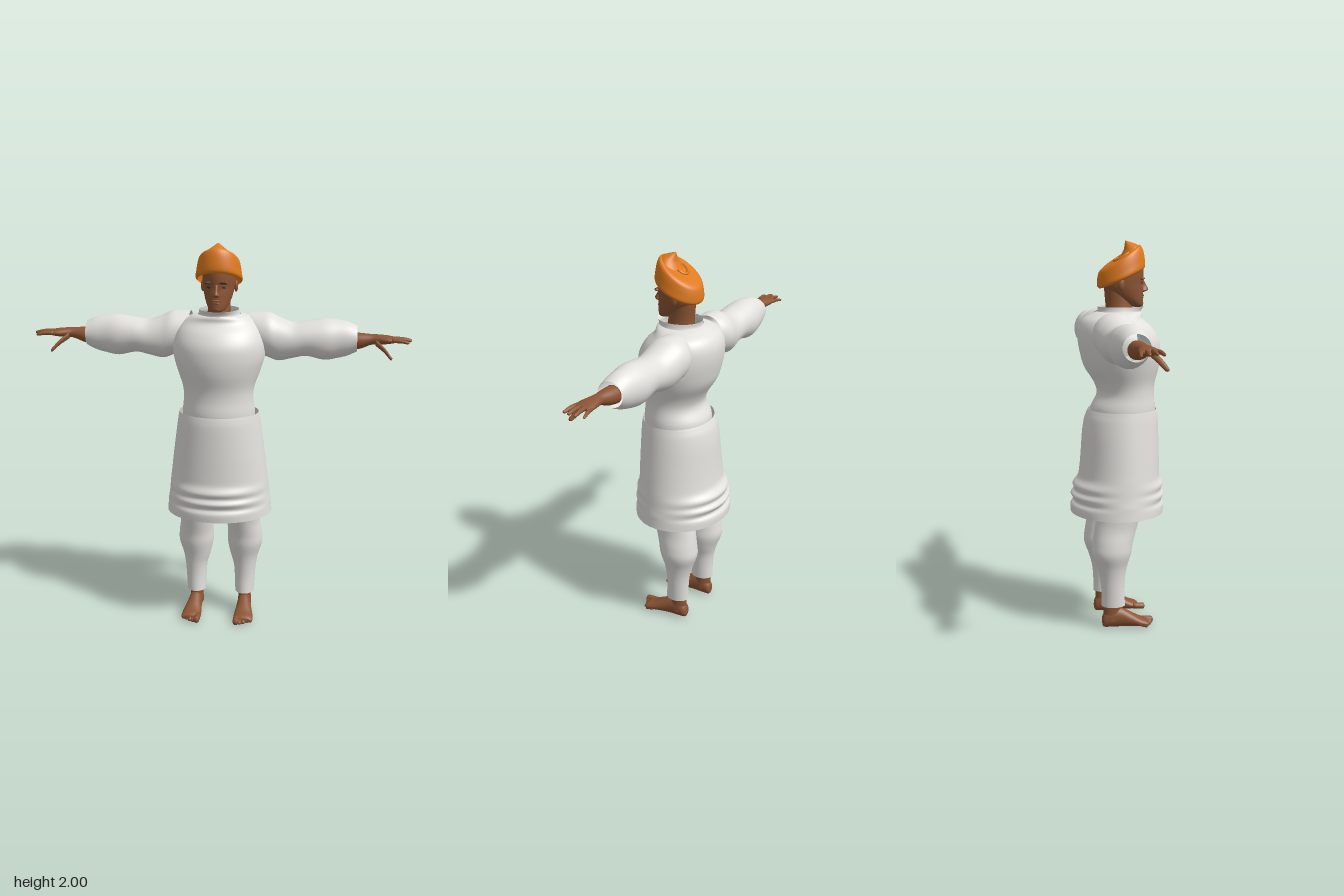
import * as THREE from 'three';
import { mergeGeometries } from 'three/addons/utils/BufferGeometryUtils.js';

const mat = (name, color, side = THREE.FrontSide) => {
  const m = new THREE.MeshStandardMaterial({ color, side });
  m.name = name;
  return m;
};

const cubic = (a, b, c, d, t) => {
  const v0 = (c - a) / 2, v1 = (d - b) / 2;
  return (2 * b - 2 * c + v0 + v1) * t ** 3 + (-3 * b + 3 * c - 2 * v0 - v1) * t * t + v0 * t + b;
};

// Smooth loft through elliptical rings [t, centreA, centreB, radiusA, radiusB, slope].
// Axis y: A = x, B = z.  Axis x: A = z, B = y.  Axis z: A = y, B = x.
function loft(axis, rings, { seg = 32, sub = 5, start = false, end = false } = {}) {
  const n = rings.length, at = i => rings[Math.max(0, Math.min(n - 1, i))];
  const pos = [], idx = [], rows = (n - 1) * sub + 1;
  const put = (t, a, b) => pos.push(...(axis === 'y' ? [a, t, b] : axis === 'x' ? [t, b, a] : [b, a, t]));
  const centres = [];
  for (let r = 0; r < rows; r++) {
    const i = Math.min(Math.floor(r / sub), n - 2), f = r / sub - i;
    const [t, ca, cb, ra, rb, slope] = [0, 1, 2, 3, 4, 5].map(k =>
      cubic(at(i - 1)[k] ?? 0, at(i)[k] ?? 0, at(i + 1)[k] ?? 0, at(i + 2)[k] ?? 0, f));
    centres.push([t, ca, cb]);
    for (let j = 0; j < seg; j++) {
      const q = j / seg * Math.PI * 2, s = Math.sin(q);
      put(t + slope * rb * s, ca + ra * Math.cos(q), cb + rb * s);
    }
  }
  for (let r = 0; r < rows - 1; r++) for (let j = 0; j < seg; j++) {
    const a = r * seg + j, c = r * seg + (j + 1) % seg, b = a + seg, d = c + seg;
    idx.push(a, b, c, b, d, c);
  }
  const cap = (row, flip) => {
    const k = pos.length / 3;
    put(...centres[row]);
    for (let j = 0; j < seg; j++) {
      const a = row * seg + j, b = row * seg + (j + 1) % seg;
      idx.push(k, ...(flip ? [a, b] : [b, a]));
    }
  };
  if (start) cap(0, true);
  if (end) cap(rows - 1, false);
  const g = new THREE.BufferGeometry();
  g.setAttribute('position', new THREE.Float32BufferAttribute(pos, 3));
  g.setIndex(idx);
  g.computeVertexNormals();
  return g;
}

// Mirrored copy across x = 0 with the face order restored
function mirror(g) {
  const m = g.clone().scale(-1, 1, 1), ix = m.index.array;
  for (let i = 0; i < ix.length; i += 3) [ix[i], ix[i + 1]] = [ix[i + 1], ix[i]];
  m.computeVertexNormals();
  return m;
}

export function createModel() {
  const root = new THREE.Group();
  const cloth = mat('white cloth', 0xe2e1dd, THREE.DoubleSide);
  const skin = mat('brown skin', 0x8c5535);
  const orange = mat('orange cloth', 0xde7a1e, THREE.DoubleSide);
  const dark = mat('dark brown', 0x3a2216);
  const add = (name, g, m) => {
    const mesh = new THREE.Mesh(g, m);
    mesh.name = name;
    root.add(mesh);
  };
  const pair = (name, g, m) => {
    add('left' + name, g, m);
    add('right' + name, mirror(g), m);
  };
  const blob = (x, y, z, rx, ry, rz) => {
    const g = new THREE.SphereGeometry(1, 16, 12).scale(rx, ry, rz).translate(x, y, z);
    g.deleteAttribute('uv');
    return g;
  };
  const solid = { start: true, end: true };

  // Tunic body and standing collar
  add('tunic', loft('y', [
    [1.08, 0, .03, .185, .165], [1.15, 0, .032, .186, .168], [1.22, 0, .045, .178, .148],
    [1.28, 0, .04, .184, .157], [1.36, 0, .025, .212, .192], [1.43, 0, .018, .232, .206],
    [1.5, 0, .008, .236, .208], [1.56, 0, -.008, .22, .19], [1.605, 0, -.02, .19, .155],
    [1.632, 0, 0, .145, .13], [1.643, 0, .012, .108, .113]], { seg: 48 }), cloth);
  add('collar', loft('y', [
    [1.636, 0, .012, .108, .114], [1.65, 0, .015, .103, .112], [1.668, 0, .02, .1, .119]], { seg: 48 }), cloth);

  // Skirt of the tunic, with soft folds near the hem
  add('skirt', loft('y', [
    [.6, 0, 0, .275, .242], [.64, 0, .001, .271, .243], [.665, 0, .003, .269, .229], [.695, 0, .002, .264, .244],
    [.72, 0, .004, .261, .228], [.75, 0, .005, .258, .236], [.785, 0, .01, .254, .214], [.83, 0, .013, .248, .208],
    [.92, 0, .016, .237, .203], [1.02, 0, .018, .224, .198], [1.09, 0, .022, .214, .191],
    [1.125, 0, .026, .208, .182], [1.142, 0, .028, .205, .176]], { seg: 56 }), cloth);

  // Sleeves
  pair('Sleeve', loft('x', [
    [.155, -.045, 1.545, .095, .1], [.2, -.05, 1.54, .11, .108], [.25, -.045, 1.53, .112, .115],
    [.3, -.04, 1.512, .105, .111], [.37, -.035, 1.508, .096, .092], [.44, -.038, 1.518, .096, .09],
    [.53, -.042, 1.515, .097, .105], [.6, -.043, 1.518, .085, .097], [.65, -.04, 1.52, .076, .085],
    [.695, -.037, 1.522, .067, .064]], { seg: 36 }), cloth);

  // Trouser legs
  pair('Trouser', loft('y', [
    [.118, .131, -.042, .05, .062], [.2, .132, -.045, .054, .06], [.27, .132, -.047, .06, .066],
    [.33, .129, -.05, .074, .08], [.4, .132, -.052, .092, .102], [.46, .131, -.045, .091, .105],
    [.53, .125, -.03, .087, .11], [.6, .121, -.015, .092, .115], [.75, .115, 0, .105, .13],
    [.92, .1, .02, .1, .14]]), cloth);

  // Feet with five toes
  const toes = [0, 1, 2, 3, 4].map(i => {
    const x = .106 + i * .0185, tip = .176 - i * .009 - (i > 2 ? .006 : 0), r = i ? .011 : .017;
    return loft('z', [[.11 - i * .006, .022, x - .002, r, r * .95], [tip - .012, r + .001, x, r, r],
      [tip - .003, r, x, r * .65, r * .65], [tip, r, x, .002, .002]], { seg: 12, sub: 3, ...solid });
  });
  pair('Foot', mergeGeometries([
    loft('z', [[-.102, .035, .13, .008, .008], [-.094, .038, .13, .034, .026], [-.06, .054, .131, .054, .035],
      [-.01, .053, .133, .053, .036], [.04, .041, .136, .041, .042], [.09, .027, .139, .027, .05],
      [.125, .02, .141, .02, .051], [.142, .017, .141, .012, .044]], solid),
    loft('y', [[.04, .131, -.048, .037, .046], [.09, .131, -.048, .034, .046], [.16, .131, -.046, .038, .048]]),
    ...toes]), skin);

  // Forearm, palm, fingers and thumb
  const finger = (x0, x1, z0, z1, y0, y1, r) => loft('x', [
    [x0, z0, y0, r * 1.1, r * 1.15], [(x0 + x1) / 2, (z0 + z1) / 2, (y0 + y1) / 2 + .003, r, r],
    [x1 - .008, z1, y1, r * .75, r * .75], [x1, z1, y1, .0015, .0015]], { seg: 12, sub: 3, ...solid });
  pair('Hand', mergeGeometries([
    loft('x', [[.66, -.03, 1.51, .045, .045], [.71, -.026, 1.513, .04, .04], [.765, -.022, 1.522, .03, .027],
      [.8, -.021, 1.523, .036, .025], [.845, -.018, 1.523, .047, .021], [.88, -.018, 1.523, .046, .014],
      [.89, -.018, 1.523, .035, .007]], solid),
    finger(.865, .945, -.056, -.07, 1.521, 1.512, .009),
    finger(.87, .966, -.031, -.037, 1.525, 1.52, .0105),
    finger(.87, .966, -.006, -.004, 1.526, 1.523, .0105),
    finger(.865, .952, .019, .031, 1.524, 1.518, .01),
    finger(.785, .87, .006, .062, 1.512, 1.445, .014)]), skin);

  // Neck, head, nose, lips, brows and ears
  add('neck', loft('y', [[1.6, 0, .01, .07, .075], [1.66, 0, .012, .058, .069],
    [1.72, 0, .005, .056, .066], [1.78, 0, 0, .06, .066]]), skin);
  add('head', loft('y', [
    [1.664, 0, .11, .012, .014], [1.672, 0, .1, .034, .036], [1.692, 0, .078, .051, .06],
    [1.72, 0, .055, .064, .082], [1.755, 0, .037, .074, .099], [1.785, 0, .03, .079, .104],
    [1.82, 0, .03, .082, .109, .2], [1.86, 0, .028, .08, .104, .45], [1.895, 0, .03, .05, .065, .5]],
    { seg: 40, ...solid }), skin);
  add('nose', loft('y', [[1.741, 0, .136, .008, .01], [1.747, 0, .138, .019, .02], [1.756, 0, .141, .015, .024],
    [1.775, 0, .137, .009, .017], [1.803, 0, .132, .009, .008]], { seg: 16, ...solid }), skin);
  add('lips', mergeGeometries([blob(0, 1.723, .132, .024, .006, .011), blob(0, 1.712, .13, .02, .006, .011),
    blob(0, 1.683, .124, .022, .014, .015)]), skin);
  pair('Ear', blob(.084, 1.783, .008, .01, .03, .018).rotateZ(0), skin);
  pair('BrowRidge', blob(.034, 1.809, .124, .027, .008, .012), skin);
  pair('Eye', blob(.034, 1.789, .1235, .014, .005, .004), dark);
  pair('Eyebrow', blob(.036, 1.811, .1335, .023, .0035, .004), dark);

  // Turban: tilted band, sloping crown, rear-hooked peak and wrapped fold
  add('turban', loft('y', [
    [1.81, 0, .025, .108, .114, .44], [1.822, 0, .024, .118, .122, .44], [1.85, 0, .022, .114, .122, .49],
    [1.885, 0, .019, .108, .116, .58], [1.908, 0, .016, .1, .106, .64], [1.917, 0, .018, .082, .088, .64],
    [1.918, 0, .025, .045, .05, .6]], { seg: 48, end: true }), orange);
  add('turbanPeak', loft('y', [[1.935, 0, .068, .072, .052, .45], [1.962, 0, .075, .052, .038, .3],
    [1.982, 0, .068, .026, .026, .1], [1.998, 0, .047, .003, .003]], { seg: 24, end: true }), orange);
  const wrap = Array.from({ length: 14 }, (_, i) => {
    const q = i / 13 * 4.6 + 1.6, r = .07 - i * .0042, z = .022 + r * Math.sin(q);
    return new THREE.Vector3(r * Math.cos(q), 1.917 + .62 * (z - .02), z);
  });
  add('turbanFold', new THREE.TubeGeometry(new THREE.CatmullRomCurve3(wrap), 40, .008, 8), orange);
  return root;
}
